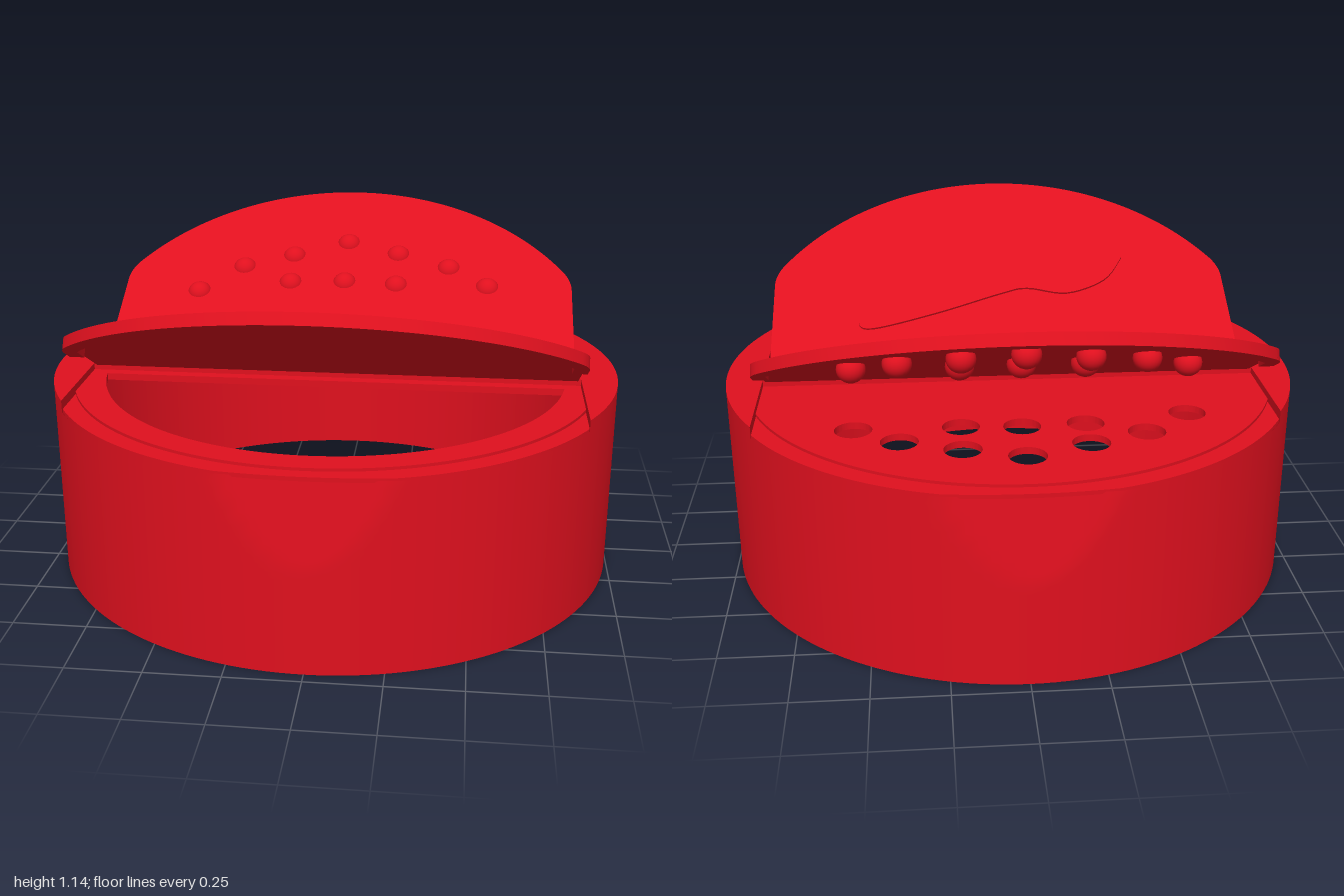
import * as THREE from 'three';
import { toCreasedNormals } from 'three/addons/utils/BufferGeometryUtils.js';

const red = new THREE.MeshStandardMaterial({ color: 0xe0101e, side: THREE.DoubleSide });
const RX = 1, RZ = 0.96, TILT = THREE.MathUtils.degToRad(29.5), HINGE_Z = 0.08, TOP = 0.69;

// bump positions on the shaker flap, as [x, distance from hinge]
const bumps = [[-0.57, 0.33], [-0.41, 0.47], [-0.22, 0.54], [-0.01, 0.62], [0.19, 0.56],
  [0.39, 0.49], [0.54, 0.39], [-0.22, 0.39], [-0.01, 0.4], [0.19, 0.39]];

function part(name, geometry, parent) {
  const mesh = new THREE.Mesh(geometry, red);
  mesh.name = name;
  parent.add(mesh);
  return mesh;
}

// horizontal slab: shape (x, z) with its upper face at height top
function slab(shape, top, thick) {
  const g = new THREE.ExtrudeGeometry(shape, { depth: thick, bevelEnabled: false, curveSegments: 40 });
  g.rotateX(Math.PI / 2).translate(0, top, 0);
  return toCreasedNormals(g, 0.6);
}

// depth of the thumb notch pressed into the front and back wall
const notch = (x, y) => 0.03 * Math.max(0, (y - 0.36) / 0.28 - (x / 0.27) ** 2);

function wallGeometry() {
  const h = 0.65;
  const g = new THREE.CylinderGeometry(1, 1, h, 160, 28, true).rotateY(Math.PI / 2).translate(0, h / 2, 0);
  const p = g.attributes.position;
  for (let i = 0; i < p.count; i++) {
    const x = p.getX(i) * RX, z = p.getZ(i) * RZ;
    p.setXYZ(i, x, p.getY(i), z - Math.sign(z) * (Math.abs(z) > 0.5 ? notch(x, p.getY(i)) : 0));
  }
  g.computeVertexNormals();
  return g;
}

// floor outline with the pouring opening in front and shaker holes behind
function floorShape(scale, notchDepth) {
  const pts = [];
  for (let i = 0; i < 160; i++) {
    const a = i / 160 * Math.PI * 2, x = Math.cos(a) * RX * scale, z = Math.sin(a) * RZ * scale;
    const cut = Math.abs(z) > 0.5 ? notchDepth * Math.max(0, 1 - (x / 0.27) ** 2) : 0;
    pts.push(new THREE.Vector2(x, z - Math.sign(z) * cut));
  }
  const shape = new THREE.Shape(pts);
  const a = Math.asin(0.12 / 0.8);
  shape.holes.push(new THREE.Path().absellipse(0, 0, 0.82, 0.8, a, Math.PI - a, false));
  for (const [x, d] of bumps) {
    shape.holes.push(new THREE.Path().absarc(x, -(HINGE_Z + d), 0.062, 0, Math.PI * 2, true));
  }
  return shape;
}

// flap outline: straight sides, rounded corner, large front arc
function flapShape() {
  const s = new THREE.Shape();
  s.moveTo(-0.86, 0);
  s.lineTo(0.86, 0);
  s.lineTo(0.86, 0.38);
  s.quadraticCurveTo(0.86, 0.43, 0.83, 0.478);
  const a = Math.acos(0.83);
  s.absarc(0, -HINGE_Z, 1, a, Math.PI - a, false);
  s.quadraticCurveTo(-0.86, 0.43, -0.86, 0.38);
  return s;
}

// rim under the flap edge, stopping short of the hinge
function rimShape() {
  const s = new THREE.Shape();
  s.moveTo(0.86, 0.32);
  s.lineTo(0.86, 0.38);
  s.quadraticCurveTo(0.86, 0.43, 0.83, 0.478);
  const a = Math.acos(0.83), b = Math.acos(0.81 / 0.945);
  s.absarc(0, -HINGE_Z, 1, a, Math.PI - a, false);
  s.quadraticCurveTo(-0.86, 0.43, -0.86, 0.38);
  s.lineTo(-0.86, 0.32);
  s.lineTo(-0.81, 0.32);
  s.absarc(0, -HINGE_Z, 0.945, Math.PI - b, b, true);
  s.lineTo(0.81, 0.32);
  return s;
}

function makeFlap(name) {
  const flap = new THREE.Group();
  flap.name = name;
  flap.position.set(0, TOP, HINGE_Z);
  flap.rotation.x = -TILT;
  part('flapPanel', slab(flapShape(), 0, 0.006), flap);
  part('flapRim', slab(rimShape(), -0.004, 0.036), flap);
  return flap;
}

export function createModel() {
  const model = new THREE.Group();
  model.name = 'spiceJarLid';

  // body
  part('outerWall', wallGeometry(), model);
  part('recessedLedge', slab(floorShape(0.995, 0.018), 0.657, 0.014), model);
  part('innerFloor', slab(floorShape(0.93, 0), 0.667, 0.012), model);

  // raised hinge bar and side caps
  part('hingeBar', new THREE.BoxGeometry(1.76, 0.05, HINGE_Z * 2).translate(0, TOP - 0.025, 0), model);
  const a = Math.acos(0.87);
  for (const start of [-a, Math.PI - a]) {
    const cap = new THREE.Shape();
    cap.absellipse(0, 0, RX, RZ, start, start + 2 * a, false);
    part('sideCap', slab(cap, TOP, 0.05), model);
  }

  // front flap with the spoon emblem
  const front = makeFlap('pouringFlap');
  const outline = [[-0.48, 0.5], [-0.43, 0.55], [-0.3, 0.56], [-0.17, 0.51], [-0.08, 0.435], [0, 0.425],
    [0.25, 0.36], [0.49, 0.29], [0.54, 0.24], [0.49, 0.21], [0.25, 0.27], [0, 0.35], [-0.1, 0.37],
    [-0.25, 0.345], [-0.4, 0.4]];
  const curve = new THREE.SplineCurve([...outline, outline[0]].map(
    ([x, z]) => new THREE.Vector2(x, (z - HINGE_Z) / Math.cos(TILT))));
  part('spoonRelief', slab(new THREE.Shape(curve.getPoints(90)), 0.008, 0.01), front);
  model.add(front);

  // back flap with plugs for the shaker holes
  const back = makeFlap('shakerFlap');
  for (const [x, d] of bumps) {
    part('plug', new THREE.SphereGeometry(0.048, 20, 14).translate(-x, -0.022, d), back).scale.y = 0.95;
  }
  const turned = new THREE.Group();
  turned.name = 'backHalf';
  turned.rotation.y = Math.PI;
  turned.add(back);
  model.add(turned);

  return model;
}
